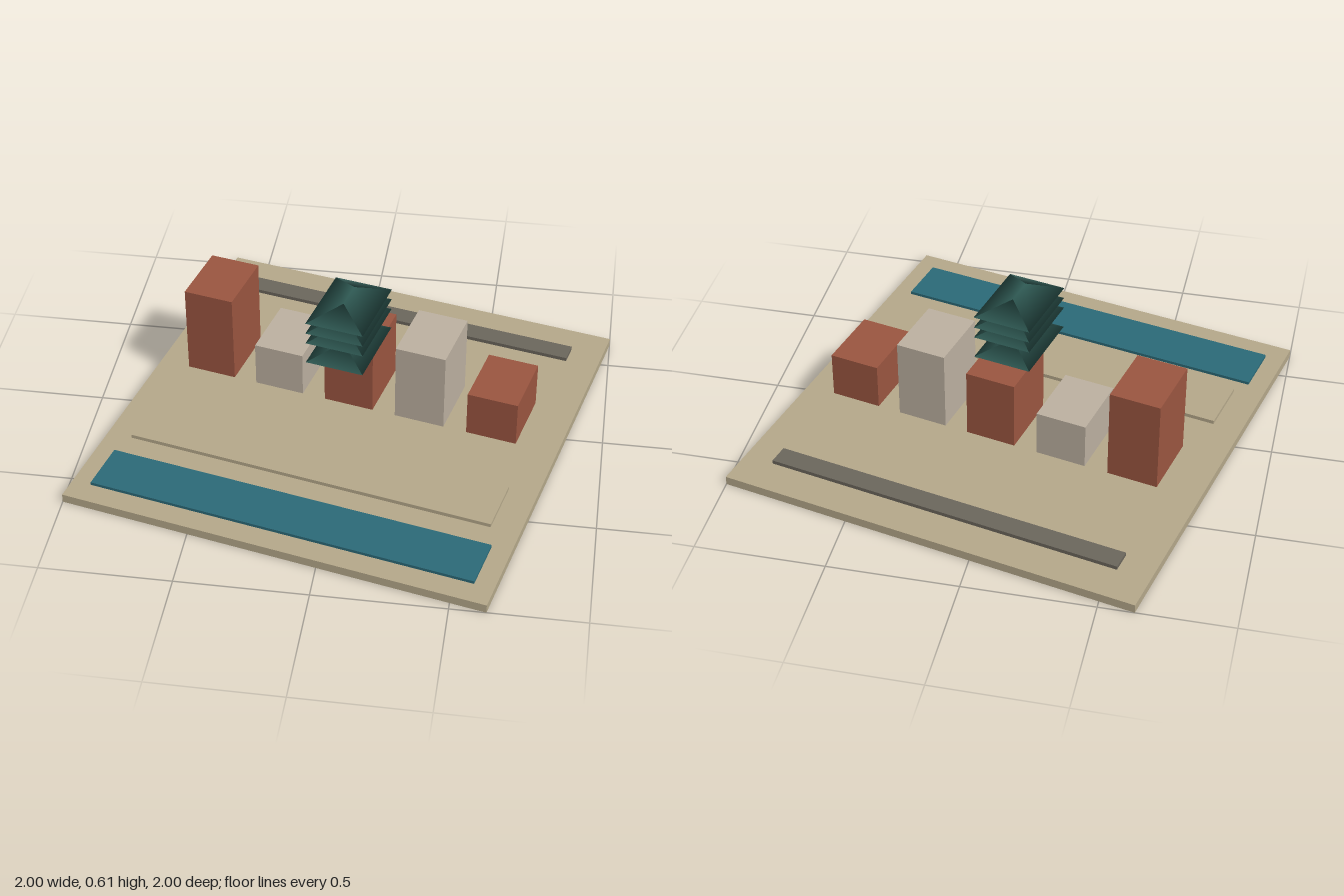
import * as THREE from 'three';

const SAND = 0xb5a88a, BRICK = 0x9a5540, STONE = 0xbcb0a0, WATER = 0x2b6a78, ROAD = 0x6b665c, ROOF = 0x2f5a54;

function mat(color) {
  return new THREE.MeshStandardMaterial({ color });
}

// Box given by its footprint and its bottom and top heights
function block(name, color, w, d, x, z, y0, y1) {
  const mesh = new THREE.Mesh(new THREE.BoxGeometry(w, y1 - y0, d), mat(color));
  mesh.name = name;
  mesh.position.set(x, (y0 + y1) / 2, z);
  return mesh;
}

// Hipped roof with a ridge along z and soft shared normals
function hipRoof(w, d, ridge, h) {
  const x = w / 2, z = d / 2, r = ridge / 2;
  const geo = new THREE.BufferGeometry();
  geo.setAttribute('position', new THREE.Float32BufferAttribute([
    -x, 0, -z, x, 0, -z, x, 0, z, -x, 0, z, 0, h, -r, 0, h, r], 3));
  geo.setIndex([
    3, 2, 5, 1, 0, 4, // hip ends
    2, 1, 4, 2, 4, 5, // right slope
    0, 3, 5, 0, 5, 4, // left slope
    0, 1, 2, 0, 2, 3, // underside
  ]);
  geo.computeVertexNormals();
  return geo;
}

export function createModel() {
  const site = new THREE.Group();
  site.name = 'waterfrontSite';
  site.rotation.y = -0.2196;

  // Ground slab and the strips lying on it
  site.add(block('groundSlab', SAND, 1.675, 1.675, 0, 0, 0, 0.035));
  site.add(block('waterChannel', WATER, 1.523, 0.205, 0, 0.646, 0.035, 0.047));
  site.add(block('promenade', SAND, 1.46, 0.228, 0, 0.342, 0.049, 0.064));
  site.add(block('road', ROAD, 1.422, 0.083, 0, -0.66, 0.043, 0.058));

  // Row of buildings in alternating brick and stone
  [0.455, 0.27, 0.365, 0.41, 0.27].forEach((top, i) => {
    site.add(block('building' + (i + 1), i % 2 ? STONE : BRICK,
      0.2, 0.268, (i - 2) * 0.293, -0.128, 0.085, top));
  });

  // Stacked pagoda roofs
  const roofs = new THREE.Group();
  roofs.name = 'pagodaRoofs';
  const roofGeo = hipRoof(0.23, 0.323, 0.115, 0.052);
  [0.374, 0.464, 0.51, 0.556].forEach((y, i) => {
    const roof = new THREE.Mesh(roofGeo, mat(ROOF));
    roof.name = 'roofTier' + (i + 1);
    roof.position.y = y;
    roofs.add(roof);
  });
  site.add(roofs);

  const model = new THREE.Group();
  model.name = 'waterfrontModel';
  model.add(site);
  return model;
}
